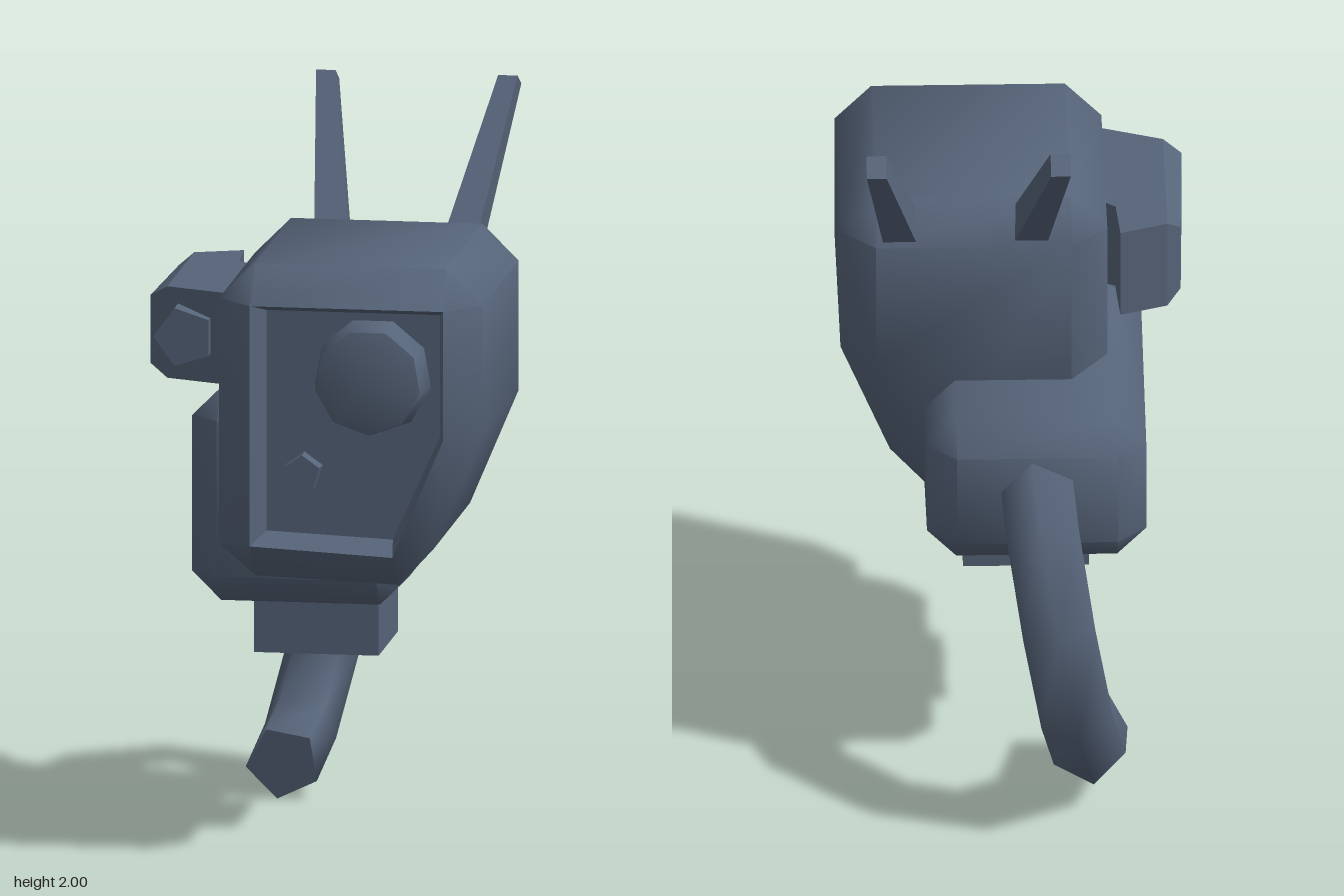
import * as THREE from 'three';
import { toCreasedNormals } from 'three/addons/utils/BufferGeometryUtils.js';
import { ConvexGeometry } from 'three/addons/geometries/ConvexGeometry.js';

const COLOR = 0x566479;
const V = (x, y, z) => new THREE.Vector3(x, y, z);

// Skin a list of equal-length rings, optionally capped; triangles are turned outward
function loft(rings, crease = 1, capped = true) {
  const tris = [];
  const add = (a, b, c) => {
    const area = b.clone().sub(a).cross(c.clone().sub(a)).length();
    if (area > 1e-6) tris.push([a, b, c]);
  };
  const n = rings[0].length;
  for (let i = 0; i < rings.length - 1; i++) {
    for (let j = 0; j < n; j++) {
      const k = (j + 1) % n;
      add(rings[i][j], rings[i][k], rings[i + 1][k]);
      add(rings[i][j], rings[i + 1][k], rings[i + 1][j]);
    }
  }
  if (capped) {
    const first = rings[0], last = rings[rings.length - 1];
    for (let j = 1; j < n - 1; j++) {
      add(first[0], first[j + 1], first[j]);
      add(last[0], last[j], last[j + 1]);
    }
  }
  const o = rings[0][0];
  let volume = 0;
  for (const [a, b, c] of tris) {
    volume += a.clone().sub(o).dot(b.clone().sub(o).cross(c.clone().sub(o)));
  }
  const points = tris.flatMap(([a, b, c]) => (volume < 0 ? [a, c, b] : [a, b, c]));
  return toCreasedNormals(new THREE.BufferGeometry().setFromPoints(points), crease);
}

// Turned shape whose axis points forward; profile is [radius, z]
function turned(profile, sides, start, x, y, crease) {
  const pts = profile.map(([r, z]) => new THREE.Vector2(r, z));
  const g = new THREE.LatheGeometry(pts, sides, start).rotateX(Math.PI / 2).translate(x, y, 0);
  return toCreasedNormals(g.toNonIndexed(), crease);
}

export function createModel() {
  const model = new THREE.Group();
  model.name = 'robotHead';
  const material = new THREE.MeshStandardMaterial({ color: COLOR });
  const thin = new THREE.MeshStandardMaterial({ color: COLOR, side: THREE.DoubleSide });
  const part = (name, geometry, mat = material) => {
    const mesh = new THREE.Mesh(geometry, mat);
    mesh.name = name;
    model.add(mesh);
  };

  // Head: bevelled shell with one slanted cheek and a recessed face
  const outer = [[-0.26, 1.56], [-0.26, 0.875], [-0.16, 0.79], [0.24, 0.775], [0.335, 0.88],
    [0.47, 1.2], [0.47, 1.56], [0.37, 1.66], [-0.16, 1.66]];
  const corner = [0, 1, 1, 2, 2, 3, 4, 4, 0]; // face corner that each outer point bevels to
  const face = [[-0.16, 1.56], [-0.16, 0.89], [0.235, 0.87], [0.375, 1.2], [0.375, 1.56]];
  const floor = [[-0.13, 1.53], [-0.13, 0.915], [0.22, 0.9], [0.35, 1.19], [0.35, 1.53]];
  const at = (pts, z) => pts.map(([x, y]) => V(x, y, z));
  const spread = (pts, z) => at(corner.map((i) => pts[i]), z);
  part('head', loft([spread(face, -0.135), at(outer, -0.035), at(outer, 0.605),
    spread(face, 0.705), spread(floor, 0.6)]));

  // Face details
  part('eye', turned([[0.165, 0.59], [0.147, 0.697], [0, 0.74]], 9, 0, 0.165, 1.355, 0.75));
  part('faceButton', turned([[0.055, 0.59], [0.05, 0.64], [0, 0.64]], 5, Math.PI, -0.025, 1.085, 0.5));

  // Lower body: bevelled block with a top that rises toward the front
  const bodyPoints = [];
  const c = 0.08;
  for (const [x, sx] of [[-0.36, 1], [0.24, -1]]) {
    for (const [z, sz] of [[-0.372, 1], [0.52, -1]]) {
      const xi = x + sx * c, zi = z + sz * c;
      for (const [y, sy] of [[0.685, 1], [1.176 + 0.233 * zi, -1]]) {
        bodyPoints.push(V(xi, y, zi), V(x, y + sy * c, zi), V(xi, y + sy * c, z));
      }
    }
  }
  part('body', toCreasedNormals(new ConvexGeometry(bodyPoints), 1));

  // Neck: open square sleeve
  const neckRing = (y) => [V(-0.21, y, -0.045), V(0.135, y, -0.045), V(0.135, y, 0.305), V(-0.21, y, 0.305)];
  part('neckSleeve', loft([neckRing(0.515), neckRing(0.72)], 1, false), thin);

  // Side unit with bevelled outer plate and stubby nozzle
  const podPlan = [[-0.425, -0.015], [-0.295, -0.065], [-0.285, 0.1], [-0.2, 0.15], [-0.2, 0.555], [-0.425, 0.465]];
  part('sidePod', loft([1.305, 1.56].map((y) => podPlan.map(([x, z]) => V(x, y, z))), 0.3));
  part('sidePodPlate', loft([
    [V(-0.425, 1.305, -0.015), V(-0.425, 1.56, -0.015), V(-0.425, 1.56, 0.465), V(-0.425, 1.305, 0.465)],
    [V(-0.462, 1.34, 0.02), V(-0.462, 1.53, 0.02), V(-0.475, 1.53, 0.44), V(-0.475, 1.34, 0.44)],
  ], 0.3));
  part('sidePodNozzle', turned([[0.085, 0.3], [0.085, 0.545], [0, 0.545]], 5, -Math.PI / 2, -0.367, 1.435, 0.5));

  // Antennae: tapered square rods leaning back and outward
  for (const [name, s] of [['leftAntenna', 1], ['rightAntenna', -1]]) {
    const ring = (offset, half, y0, z0, y1, z1) => {
      const x = 0.13 + s * offset;
      return [V(x - half, y0, z0), V(x + half, y0, z0), V(x + half, y1, z1), V(x - half, y1, z1)];
    };
    part(name, loft([
      ring(0.155, 0.052, 1.5, 0.1, 1.43, 0.005),
      ring(0.252, 0.027, 2.0, -0.41, 1.965, -0.475),
    ], 0.5));
  }

  // Curled hose: five-sided tube bent within a tilted plane, path is [z, y]
  const path = [[-0.1, 0.95], [-0.25, 0.93], [-0.37, 0.91], [-0.51, 0.85], [-0.645, 0.635],
    [-0.63, 0.375], [-0.45, 0.17], [-0.195, 0.107], [0, 0.12]].map(([z, y]) => V(-0.226 + 0.177 * y, y, z));
  const across = V(0.985, -0.174, 0);
  const hoseRings = path.slice(1, -1).map((p, i) => {
    const tangent = path[i + 2].clone().sub(path[i]).normalize();
    const out = across.clone().cross(tangent).normalize();
    if (i === 0 && out.y < 0) out.y *= 1;
    return [0, 1, 2, 3, 4].map((k) => {
      const a = (k * 2 * Math.PI) / 5;
      return p.clone().addScaledVector(out, 0.105 * Math.cos(a)).addScaledVector(across, 0.105 * Math.sin(a));
    });
  });
  part('hose', loft(hoseRings, 1.4));

  return model;
}
